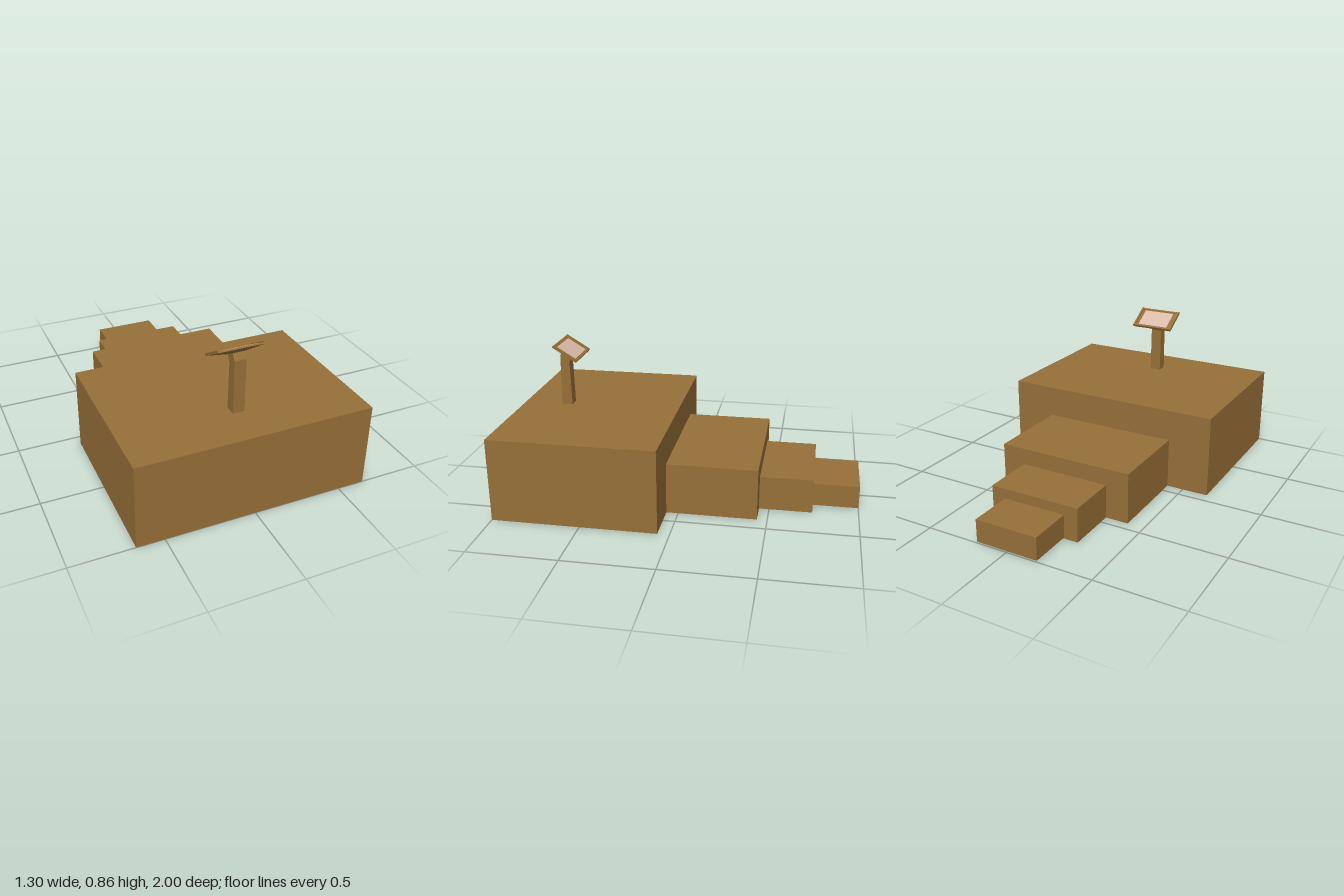
import * as THREE from 'three';

const wood = new THREE.MeshStandardMaterial({ color: 0x966f38 });
wood.name = 'wood';
const panel = new THREE.MeshStandardMaterial({ color: 0xd9bba8 });
panel.name = 'pale panel';

// Box given by its extents along each axis
function box(parent, name, [x0, x1], [y0, y1], [z0, z1], material = wood) {
  const mesh = new THREE.Mesh(new THREE.BoxGeometry(x1 - x0, y1 - y0, z1 - z0), material);
  mesh.position.set((x0 + x1) / 2, (y0 + y1) / 2, (z0 + z1) / 2);
  mesh.name = name;
  parent.add(mesh);
  return mesh;
}

export function createModel() {
  const model = new THREE.Group();
  model.name = 'steppedPodium';

  // Platform and the three narrowing steps behind it
  box(model, 'platform', [-0.652, 0.652], [0, 0.477], [0.067, 1]);
  box(model, 'upperStep', [-0.402, 0.402], [0, 0.295], [-0.443, 0.067]);
  box(model, 'middleStep', [-0.267, 0.267], [0, 0.198], [-0.743, -0.443]);
  box(model, 'lowerStep', [-0.185, 0.185], [0.008, 0.14], [-1, -0.743]);

  // Stand post: side profile (z, y) bent back at the top, extruded across x
  const profile = new THREE.Shape([
    [0.771, 0.47], [0.767, 0.779], [0.741, 0.817], [0.692, 0.782], [0.713, 0.74], [0.708, 0.47],
  ].map(([z, y]) => new THREE.Vector2(-z, y)));
  const postGeometry = new THREE.ExtrudeGeometry(profile, { depth: 0.066, bevelEnabled: false });
  postGeometry.translate(0, 0, -0.033).rotateY(Math.PI / 2);
  const post = new THREE.Mesh(postGeometry, wood);
  post.name = 'post';
  model.add(post);

  // Reading desk, tilted down towards the steps
  const desk = new THREE.Group();
  desk.name = 'desk';
  desk.position.set(0, 0.8215, 0.7035);
  desk.rotation.x = -0.55;
  model.add(desk);

  const W = 0.131, D = 0.081;
  box(desk, 'deskBoard', [-W, W], [-0.014, -0.007], [-D, D]);

  // Tapered underside that narrows to the post
  const underside = box(desk, 'deskUnderside', [-W, W], [-0.028, -0.014], [-D, D]);
  const p = underside.geometry.attributes.position;
  for (let i = 0; i < p.count; i++) {
    if (p.getY(i) < 0) {
      p.setX(i, Math.sign(p.getX(i)) * 0.033);
      p.setZ(i, Math.sign(p.getZ(i)) * 0.03);
    }
  }
  underside.geometry.computeVertexNormals();

  // Raised rim: side rails, lower ledge and a low top rail
  for (const s of [-1, 1]) {
    box(desk, 'sideRail', [s * (W - 0.0055) - 0.0055, s * (W - 0.0055) + 0.0055], [-0.007, 0], [-D, D]);
  }
  box(desk, 'lowerLedge', [-W + 0.011, W - 0.011], [-0.007, 0], [-D, -D + 0.011]);
  box(desk, 'topRail', [-W + 0.011, W - 0.011], [-0.007, -0.005], [D - 0.011, D]);

  // Pale information panel
  box(desk, 'panel', [-0.096, 0.1], [-0.007, -0.004], [-0.064, 0.06], panel);

  return model;
}
